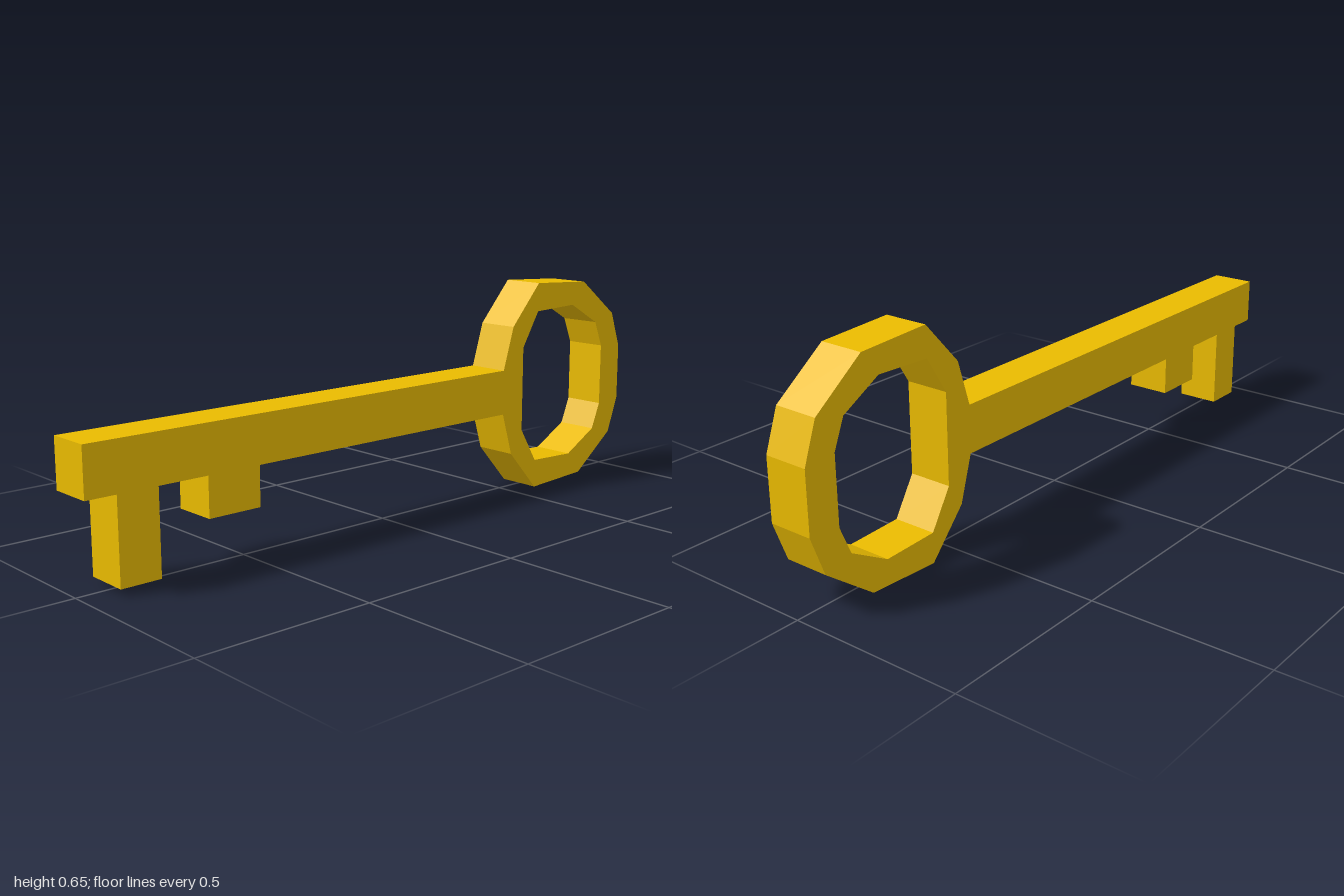
import * as THREE from 'three';

const WIDTH = 0.129; // thickness along x
const MID = 0.323;   // height of the shaft's axis

const points = (list) => list.map(([s, y]) => new THREE.Vector2(s, y));
// Complete an upper half-outline with its mirror image below the axis
const mirrored = (half) => [...half, ...half.map(([s, y]) => [s, 2 * MID - y]).reverse()];

export function createModel() {
  const group = new THREE.Group();
  group.name = 'key';

  // Side profile: s runs towards the back (-z), y is up
  const bowOuter = mirrored([
    [0.44, 0.391], [0.48, 0.521], [0.593, 0.646], [0.81, 0.635], [0.96, 0.521], [1, 0.41],
  ]);
  const bowInner = mirrored([
    [0.527, 0.452], [0.592, 0.559], [0.757, 0.565], [0.875, 0.499], [0.908, 0.419],
  ]);
  // Underside of the shaft with its two teeth, from bow to tip, then the tip
  const shaftAndTeeth = [
    [-0.489, 0.255], [-0.489, 0.142], [-0.65, 0.142], [-0.65, 0.255],
    [-0.796, 0.255], [-0.796, 0.018], [-0.913, 0.018], [-0.913, 0.255],
    [-1, 0.255], [-1, 0.391],
  ];
  const shape = new THREE.Shape(points([...bowOuter, ...shaftAndTeeth]));
  // The hole runs opposite to the outline so that its walls face inwards
  shape.holes.push(new THREE.Path(points(bowInner).reverse()));

  // One solid piece: bow, shaft and teeth
  const geometry = new THREE.ExtrudeGeometry(shape, { depth: WIDTH, bevelEnabled: false });
  geometry.translate(0, 0, -WIDTH / 2);
  geometry.rotateY(Math.PI / 2);

  const gold = new THREE.MeshStandardMaterial({ color: 0xeabb00, flatShading: true });
  const body = new THREE.Mesh(geometry, gold);
  body.name = 'bowShaftAndTeeth';
  group.add(body);
  return group;
}
